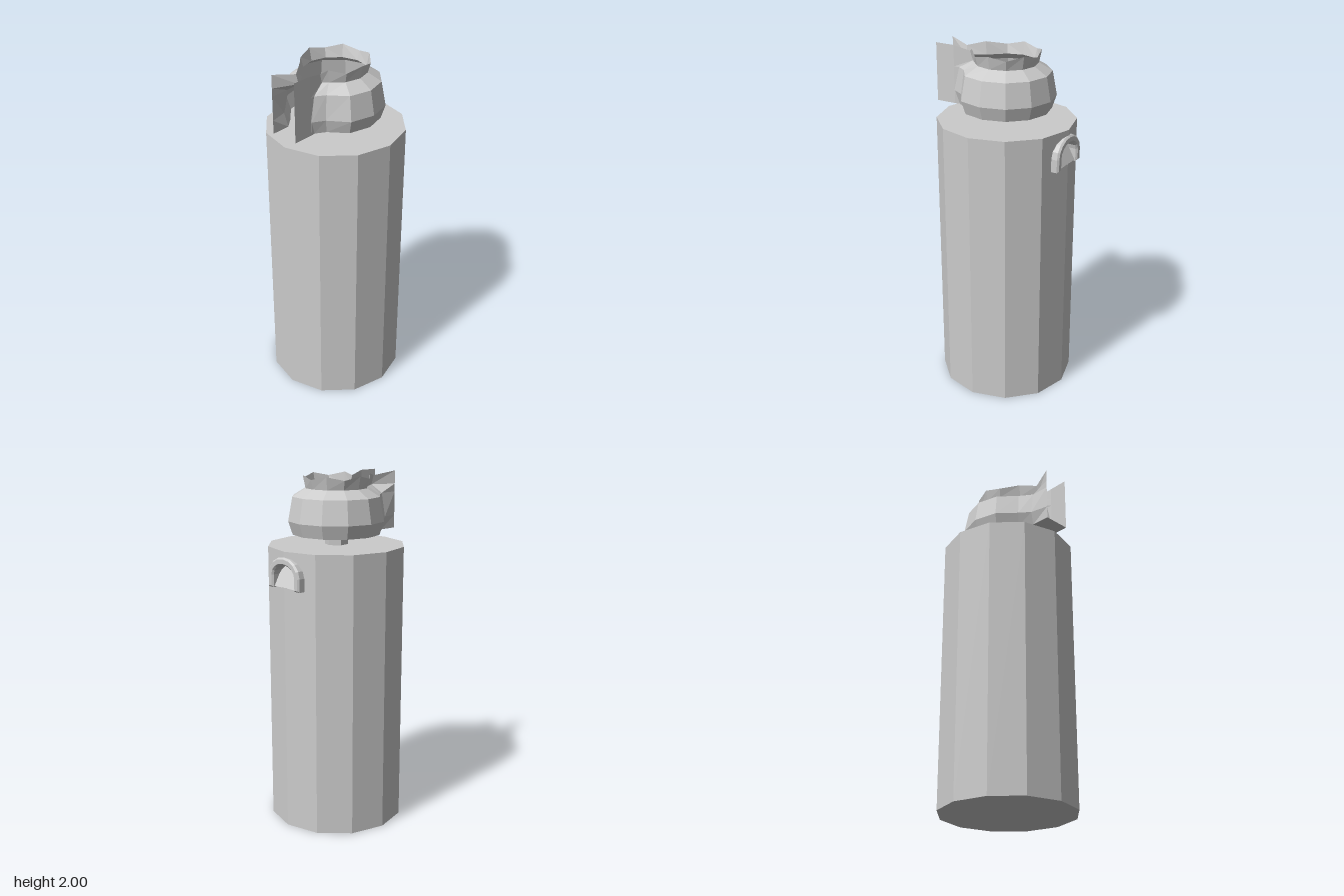
import * as THREE from 'three';

const R = 0.39, H = 1.61, FLOOR = 1.67;
const mat = new THREE.MeshStandardMaterial({ color: 0xcccccc, flatShading: true, side: THREE.DoubleSide });

function add(parent, name, geo, x = 0, y = 0, z = 0) {
  const m = new THREE.Mesh(geo, mat);
  m.name = name;
  m.position.set(x, y, z);
  parent.add(m);
  return m;
}

// Outline of an arch: straight sides, rounded top
function archPoints(w, base, spring, top, n = 8) {
  const pts = [new THREE.Vector2(w, base)];
  for (let i = 0; i <= n; i++) {
    const a = (i / n) * Math.PI;
    pts.push(new THREE.Vector2(w * Math.cos(a), spring + (top - spring) * Math.sin(a)));
  }
  pts.push(new THREE.Vector2(-w, base));
  return pts;
}

// Twelve-sided tank; the two back panels are notched for the hand recess
function tank() {
  const g = new THREE.Group();
  g.name = 'tank';
  add(g, 'tankWall', new THREE.CylinderGeometry(R, R, H, 10, 1, true, Math.PI * 7 / 6, Math.PI * 10 / 6), 0, H / 2);
  add(g, 'tankTop', new THREE.CircleGeometry(R, 12).rotateX(-Math.PI / 2), 0, H);
  const base = [[0, 0.015], [0.1, 0.012], [0.14, 0.02], [0.28, 0.02], [R, 0]].map(p => new THREE.Vector2(...p));
  add(g, 'tankBase', new THREE.LatheGeometry(base, 12));

  const notch = archPoints(0.11, 1.412, 1.48, 1.56).filter(p => p.x > -0.001);
  const half = new THREE.Shape([
    new THREE.Vector2(0, 0), new THREE.Vector2(R / 2, 0), new THREE.Vector2(R / 2, H), new THREE.Vector2(0, H),
    ...notch.reverse(), new THREE.Vector2(0, 1.412),
  ]);
  for (const s of [1, -1]) {
    const geo = new THREE.ShapeGeometry(half);
    const p = geo.attributes.position;
    for (let i = 0; i < p.count; i++) {
      const x = p.getX(i);
      p.setXYZ(i, s * x, p.getY(i), -R + x * Math.tan(Math.PI / 12));
    }
    if (s > 0) { // keep the panel facing backwards
      const ix = geo.index.array;
      for (let i = 0; i < ix.length; i += 3) [ix[i], ix[i + 1]] = [ix[i + 1], ix[i]];
    }
    geo.computeVertexNormals();
    add(g, 'tankBackPanel', geo);
  }
  return g;
}

// Arched lip and sloping pocket on the back
function handRecess() {
  const g = new THREE.Group();
  g.name = 'handRecess';
  const lip = new THREE.Shape([
    ...archPoints(0.118, 1.412, 1.475, 1.57),
    ...archPoints(0.095, 1.412, 1.475, 1.545).reverse(),
  ]);
  add(g, 'recessLip', new THREE.ExtrudeGeometry(lip, {
    depth: 0.09, bevelEnabled: true, bevelThickness: 0.01, bevelSize: 0.009, bevelSegments: 1,
  }), 0, 0, -0.39);
  const pocket = new THREE.PlaneGeometry(0.2, 0.175);
  pocket.rotateY(Math.PI).rotateX(0.51);
  add(g, 'recessPocket', pocket, 0, 1.486, -0.343);
  return g;
}

// Valve neck with six small studs
function valve() {
  const g = new THREE.Group();
  g.name = 'valve';
  add(g, 'valveNeck', new THREE.CylinderGeometry(0.066, 0.066, 0.075, 6).rotateY(0.15), 0, H + 0.0375);
  for (let i = 0; i < 6; i++) {
    const a = (i / 6) * Math.PI * 2 + 0.15;
    const stud = add(g, 'valveStud', new THREE.BoxGeometry(0.015, 0.035, 0.015),
      0.07 * Math.sin(a), 1.684, 0.07 * Math.cos(a));
    stud.rotation.y = a;
  }
  return g;
}

// Collar around the valve, open at the front with two straight cheeks
function collar() {
  const g = new THREE.Group();
  g.name = 'collar';
  const profile = [[0.25, FLOOR], [0.275, 1.745], [0.25, 1.88], [0.175, 1.925], [0.19, 1.985]];
  // Each section: outer x, z then inner x, z
  const sections = [
    [0.09, 0.4, 0.09, 0.4],
    [0.09, 0.285, 0.09, 0.285],
    [0.092, 0.28, 0.066, 0.175],
  ];
  for (let i = 2; i <= 10; i++) {
    const a = (i / 12) * Math.PI * 2 - Math.PI / 6;
    const s = Math.sin(a + Math.PI / 6), c = Math.cos(a + Math.PI / 6);
    // sections run from the left front, round the back, to the right front
    sections.push([0.275 * s, 0.275 * c, 0.175 * s, 0.175 * c]);
  }
  sections.splice(3, 1, [0.13, 0.22, 0.15, 0.09].map((v, k) => [0.24, 0.14, 0.152, 0.088][k]));
  sections.splice(3, 0, [0.13, 0.215, 0.092, 0.15]);
  sections.push([-0.145, 0.235, -0.07, 0.175], [-0.095, 0.295, -0.01, 0.268], [-0.07, 0.4, -0.07, 0.4]);

  const pos = [], index = [], foot = [];
  const n = profile.length;
  sections.forEach(([ox, oz, ix, iz], k) => {
    const straight = ox === ix && oz === iz;
    profile.forEach(([r, y], j) => {
      const t = (r - 0.175) / 0.1;
      const x = ix + (ox - ix) * t, z = iz + (oz - iz) * t;
      const top = straight ? 2 : 1.985 + (k % 2 ? 0.012 : -0.008); // wavy rim
      pos.push(x, j === n - 1 ? top : y, z);
      if (j === 0) foot.push(new THREE.Vector2(x, -z));
      if (k && j) {
        const b = k * n + j, a = b - n;
        index.push(a - 1, b - 1, b, a - 1, b, a);
      }
    });
  });
  const geo = new THREE.BufferGeometry();
  geo.setAttribute('position', new THREE.Float32BufferAttribute(pos, 3));
  geo.setIndex(index);
  geo.computeVertexNormals();
  add(g, 'collarWall', geo);
  add(g, 'collarFloor', new THREE.ShapeGeometry(new THREE.Shape(foot)).rotateX(-Math.PI / 2), 0, FLOOR);
  return g;
}

export function createModel() {
  const model = new THREE.Group();
  model.name = 'gasCylinder';
  model.add(tank(), handRecess(), valve(), collar());
  return model;
}
